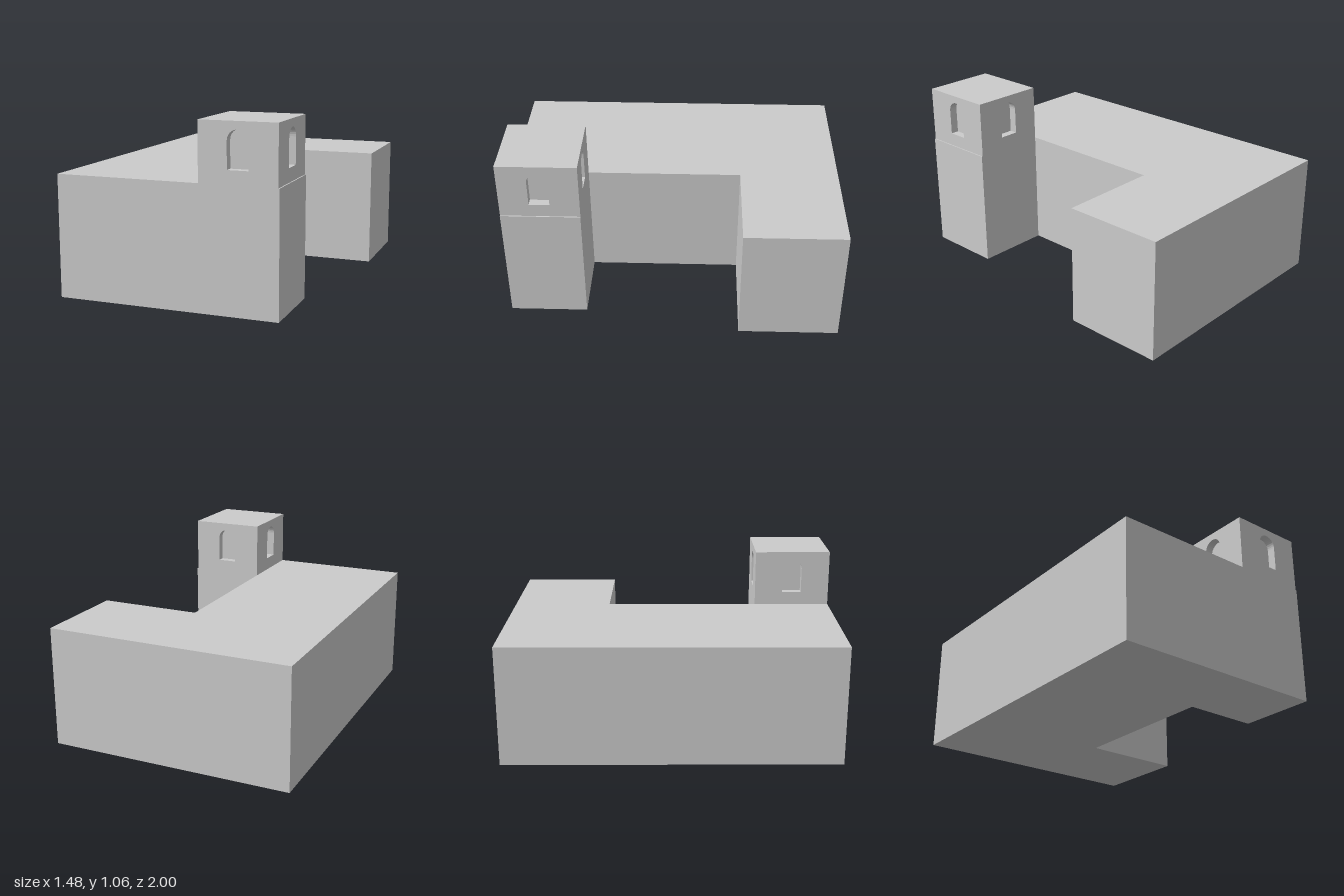
import * as THREE from 'three';

const material = new THREE.MeshStandardMaterial({ color: 0xcccccc, flatShading: true });

const WALL_TOP = 0.72, TOWER_TOP = 1.06, NICHE_DEPTH = 0.05;
const tower = { x0: 0.12, x1: 0.57, z0: 0.533, z1: 1 };

function mesh(name, geometry, parent) {
  const m = new THREE.Mesh(geometry, material);
  m.name = name;
  parent.add(m);
  return m;
}

// Round-headed window outline, measured from the tower's foot
function archPoints() {
  const r = 0.06, sill = 0.08, spring = 0.235;
  const points = [new THREE.Vector2(-r, sill), new THREE.Vector2(r, sill)];
  const steps = 16;
  for (let i = 0; i <= steps; i++) {
    const a = (Math.PI * i) / steps;
    points.push(new THREE.Vector2(r * Math.cos(a), spring + r * Math.sin(a)));
  }
  return points;
}

// Sill, jambs and arch soffit, facing into the opening
function liningGeometry(points) {
  const pos = [];
  points.forEach((a, i) => {
    const b = points[(i + 1) % points.length];
    const d = -NICHE_DEPTH;
    pos.push(a.x, a.y, 0, b.x, b.y, 0, b.x, b.y, d);
    pos.push(a.x, a.y, 0, b.x, b.y, d, a.x, a.y, d);
  });
  const g = new THREE.BufferGeometry();
  g.setAttribute('position', new THREE.Float32BufferAttribute(pos, 3));
  g.computeVertexNormals();
  return g;
}

// One tower wall facing +z with a blind arched window
function towerSide(name, width, height) {
  const side = new THREE.Group();
  side.name = name;
  const arch = archPoints();
  const w = width / 2;
  const wall = new THREE.Shape([[-w, 0], [w, 0], [w, height], [-w, height]]
    .map(([x, y]) => new THREE.Vector2(x, y)));
  wall.holes.push(new THREE.Path(arch));
  mesh('towerWall', new THREE.ShapeGeometry(wall), side);
  mesh('windowLining', liningGeometry(arch), side);
  mesh('windowBack', new THREE.ShapeGeometry(new THREE.Shape(arch)), side).position.z = -NICHE_DEPTH;
  return side;
}

export function createModel() {
  const model = new THREE.Group();
  model.name = 'building';

  // Main hall, rear wing and tower base share one footprint, listed as x, z
  const footprint = new THREE.Shape([
    [-0.74, 1], [0.577, 1], [0.577, tower.z0], [tower.x0, tower.z0],
    [tower.x0, -0.4], [0.737, -0.4], [0.737, -1], [-0.74, -1],
  ].map(([x, z]) => new THREE.Vector2(x, -z)));
  const body = new THREE.ExtrudeGeometry(footprint, { depth: WALL_TOP, bevelEnabled: false });
  body.rotateX(-Math.PI / 2);
  mesh('mainBody', body, model);

  // Bell tower: four windowed walls and a flat roof
  const bellTower = new THREE.Group();
  bellTower.name = 'bellTower';
  const width = tower.x1 - tower.x0, depth = tower.z1 - tower.z0;
  const height = TOWER_TOP - WALL_TOP;
  bellTower.position.set((tower.x0 + tower.x1) / 2, WALL_TOP, (tower.z0 + tower.z1) / 2);
  ['towerFront', 'towerLeft', 'towerBack', 'towerRight'].forEach((name, i) => {
    const [across, out] = i % 2 ? [depth, width] : [width, depth];
    const side = towerSide(name, across, height);
    const angle = (i * Math.PI) / 2;
    side.rotation.y = angle;
    side.position.set(Math.sin(angle) * out / 2, 0, Math.cos(angle) * out / 2);
    bellTower.add(side);
  });
  const roof = new THREE.PlaneGeometry(width, depth).rotateX(-Math.PI / 2);
  mesh('towerRoof', roof, bellTower).position.y = height;
  model.add(bellTower);

  return model;
}
